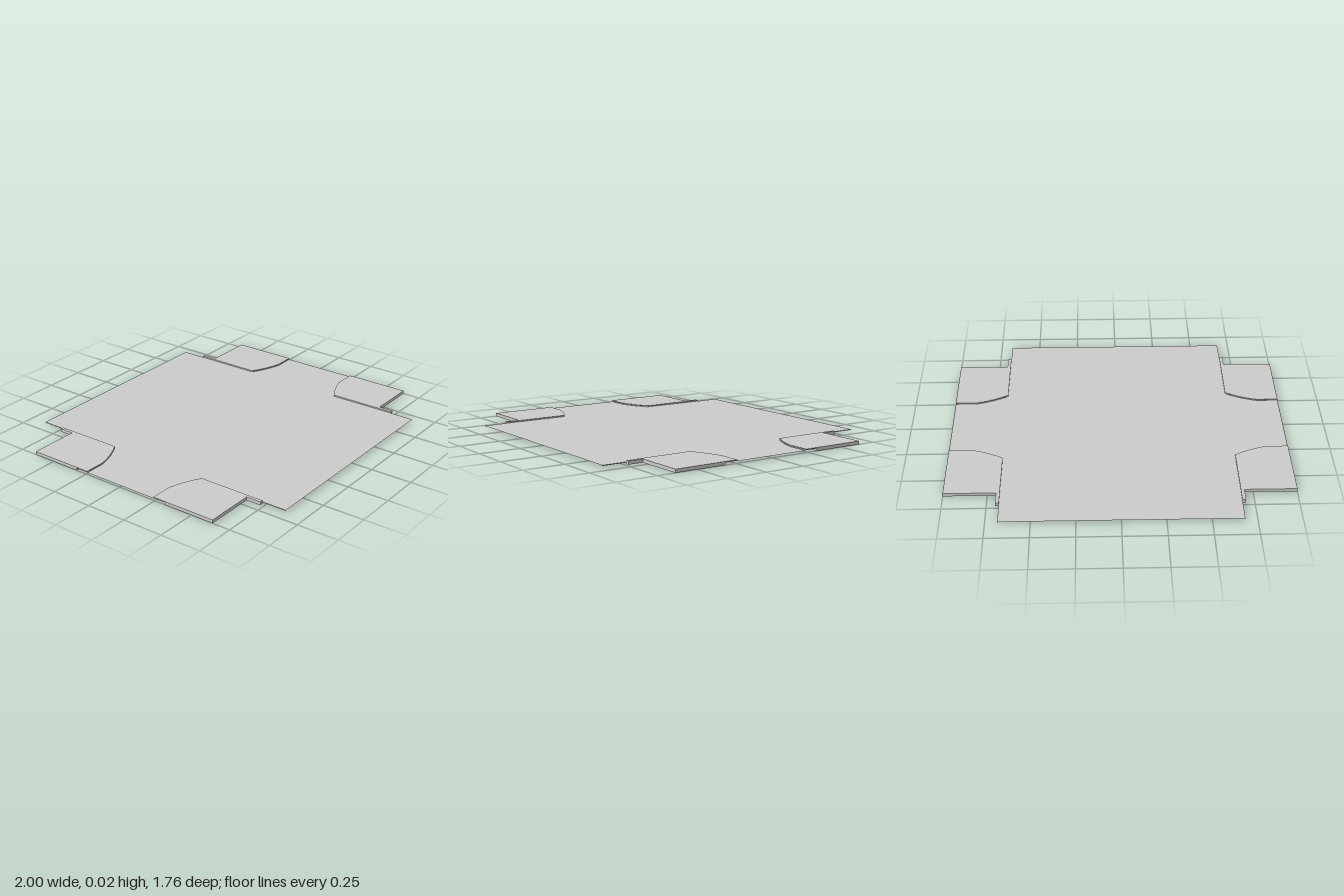
import * as THREE from 'three';

const material = new THREE.MeshStandardMaterial({ color: 0xcccccc, flatShading: true, side: THREE.DoubleSide });

const SHEET_Y = 0.012, PAD_TOP = 0.02, CAP_BOTTOM = 0.014;
const X_IN = 0.68, X_OUT = 1, Z_TIP = 0.24, Z_IN = 0.32, Z_PAD = 0.64, Z_TAB = 0.73, Z_END = 0.88;

// Curved inner border of a corner pad, from its outer end to its inner corner
const curve = [[X_OUT, Z_TIP], [0.87, Z_TIP], [0.82, 0.254], [0.77, 0.272], [0.72, 0.296], [X_IN, Z_IN]];

const toShape = (points, sx = 1, sz = 1) =>
  new THREE.Shape(points.map(([x, z]) => new THREE.Vector2(x * sx, z * sz)));

// Horizontal slab from an x/z outline, between two heights
function slab(name, shape, bottom, top) {
  const geometry = new THREE.ExtrudeGeometry(shape, { depth: top - bottom, bevelEnabled: false });
  geometry.rotateX(Math.PI / 2);
  const mesh = new THREE.Mesh(geometry, material);
  mesh.position.y = top;
  mesh.name = name;
  return mesh;
}

function box(name, x0, x1, y0, y1, z0, z1, sx, sz) {
  const mesh = new THREE.Mesh(new THREE.BoxGeometry(x1 - x0, y1 - y0, z1 - z0), material);
  mesh.position.set(sx * (x0 + x1) / 2, (y0 + y1) / 2, sz * (z0 + z1) / 2);
  mesh.name = name;
  return mesh;
}

// Raised pad: curved cap on a frame that is open underneath
function cornerPad(sx, sz) {
  const pad = new THREE.Group();
  pad.name = 'cornerPad';
  const cap = [...curve, [X_IN, Z_PAD], [X_OUT, Z_PAD]];
  pad.add(slab('padCap', toShape(cap, sx, sz), CAP_BOTTOM, PAD_TOP));

  const w = 0.02;
  const rect = (x0, x1, z0, z1) => [[x0, z0], [x1, z0], [x1, z1], [x0, z1]];
  const frame = toShape(rect(X_IN, X_OUT, Z_IN, Z_PAD), sx, sz);
  frame.holes.push(toShape(rect(X_IN + w, X_OUT - w, Z_IN + w, Z_PAD - w), sx, sz));
  pad.add(slab('padFrame', frame, 0, CAP_BOTTOM));

  // Tab continuing the inner wall past the pad, and the thin lip of the sheet
  pad.add(box('tab', X_IN, X_IN + w, 0, PAD_TOP, Z_PAD, Z_TAB, sx, sz));
  pad.add(box('sheetLip', X_IN - 0.004, X_IN, 0.008, SHEET_Y, Z_TAB, Z_END, sx, sz));
  return pad;
}

export function createModel() {
  const model = new THREE.Group();
  model.name = 'panel';

  // Thin main sheet, its four corners cut along the pads
  const quarter = [...curve, [X_IN, Z_END]];
  const mirrored = (sx, sz) => quarter.map(([x, z]) => [x * sx, z * sz]);
  const outline = [
    ...mirrored(1, 1), ...mirrored(-1, 1).reverse(),
    ...mirrored(-1, -1), ...mirrored(1, -1).reverse(),
  ];
  const sheetGeometry = new THREE.ShapeGeometry(toShape(outline, 1, -1));
  sheetGeometry.rotateX(-Math.PI / 2);
  const sheet = new THREE.Mesh(sheetGeometry, material);
  sheet.position.y = SHEET_Y;
  sheet.name = 'mainSheet';
  model.add(sheet);

  for (const sx of [1, -1]) for (const sz of [1, -1]) model.add(cornerPad(sx, sz));
  return model;
}
